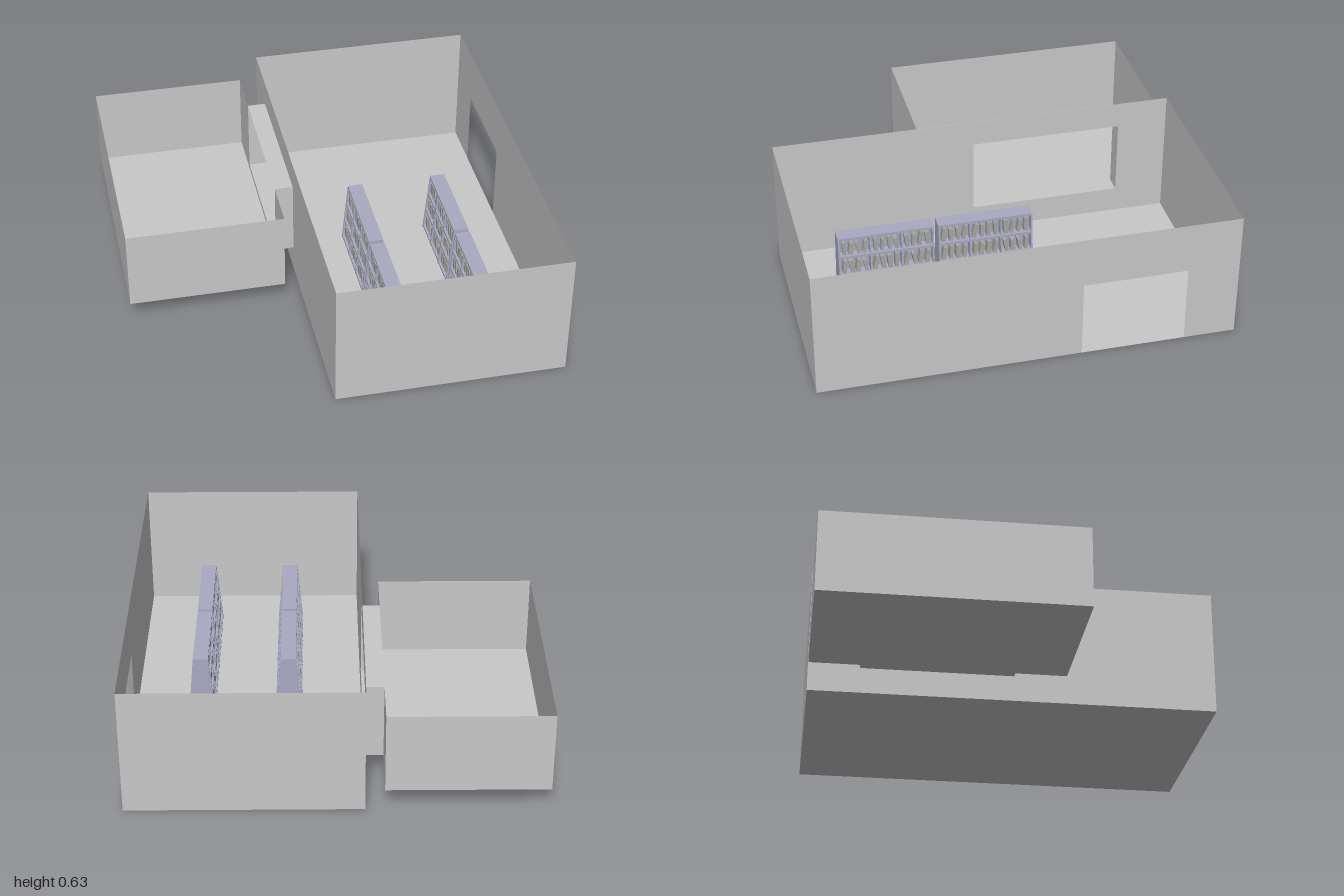
import * as THREE from 'three';

const wallGrey = new THREE.MeshStandardMaterial({ color: 0xc8c8c8, side: THREE.DoubleSide });
wallGrey.name = 'wall grey';
const shelfLilac = new THREE.MeshStandardMaterial({ color: 0xa9a9c2 });
shelfLilac.name = 'shelf lilac';
const bookGrey = new THREE.MeshStandardMaterial({ color: 0xa6a6a2 });
bookGrey.name = 'book grey';

// Small seeded generator for the book arrangement
function seeded(seed) {
  return () => (seed = (seed * 16807) % 2147483647) / 2147483647;
}

function addMesh(parent, name, geometry, material, x = 0, y = 0, z = 0) {
  const mesh = new THREE.Mesh(geometry, material);
  mesh.name = name;
  mesh.position.set(x, y, z);
  parent.add(mesh);
  return mesh;
}

const outline = (points) => new THREE.Shape(points.map(([a, b]) => new THREE.Vector2(a, b)));
const rect = (a0, a1, b0, b1) => [[a0, b0], [a1, b0], [a1, b1], [a0, b1]];

// Thin wall facing z, outline in (x, y)
function wallZ(parent, name, points, z) {
  addMesh(parent, name, new THREE.ShapeGeometry(outline(points)), wallGrey, 0, 0, z);
}

// Thin wall facing x, outline in (z, y), with an optional opening
function wallX(parent, name, points, x, hole) {
  const flip = (list) => list.map(([z, y]) => [-z, y]);
  const shape = outline(flip(points));
  if (hole) shape.holes.push(outline(flip(hole)));
  addMesh(parent, name, new THREE.ShapeGeometry(shape), wallGrey, x).rotation.y = Math.PI / 2;
}

// Horizontal slab without thickness
function level(parent, name, x0, x1, z0, z1, y) {
  const g = new THREE.PlaneGeometry(x1 - x0, z1 - z0).rotateX(-Math.PI / 2);
  addMesh(parent, name, g, wallGrey, (x0 + x1) / 2, y, (z0 + z1) / 2);
}

// Two-sided tapering bookshelf, centred on x and z
const HEIGHT = 0.32, LENGTH = 0.47, BOARD = 0.008;
const halfWidth = (y) => 0.066 - (0.029 * y) / HEIGHT;

function bookshelf(seed) {
  const random = seeded(seed);
  const shelf = new THREE.Group();
  shelf.name = 'bookshelf';

  // Ends and the two dividers
  const w0 = halfWidth(0), w1 = halfWidth(HEIGHT);
  const side = outline([[-w0, 0], [w0, 0], [w1, HEIGHT], [-w1, HEIGHT]]);
  const panel = new THREE.ExtrudeGeometry(side, { depth: BOARD, bevelEnabled: false });
  const bay = (LENGTH - BOARD) / 3;
  for (let i = 0; i < 4; i++) {
    addMesh(shelf, i % 3 ? 'divider' : 'endPanel', panel, shelfLilac, 0, 0, -LENGTH / 2 + i * bay);
  }

  // Middle panel, top and boards
  addMesh(shelf, 'middlePanel', new THREE.BoxGeometry(BOARD, HEIGHT - 0.01, LENGTH - 0.01), shelfLilac, 0, HEIGHT / 2);
  addMesh(shelf, 'topBoard', new THREE.BoxGeometry(w1 * 2, 0.012, LENGTH), shelfLilac, 0, HEIGHT - 0.006);
  const rows = [0.012, 0.115, 0.215];
  for (const y of rows) {
    const w = halfWidth(y + 0.004);
    addMesh(shelf, 'board', new THREE.BoxGeometry(w * 2, 0.012, LENGTH - 0.004), shelfLilac, 0, y);
  }

  // Leaning books on both faces
  for (const s of [-1, 1]) {
    for (const y of rows) {
      for (let b = 0; b < 3; b++) {
        for (let n = 0; n < 4; n++) {
          const h = 0.06 + random() * 0.016;
          const t = 0.014 + random() * 0.009;
          const lean = (random() - 0.5) * 0.45;
          const depth = halfWidth(y + 0.08) - 0.008;
          const z = -LENGTH / 2 + b * bay + 0.03 + n * 0.034;
          const book = addMesh(shelf, 'book', new THREE.BoxGeometry(depth, h, t), bookGrey,
            s * (0.004 + depth / 2), y + 0.007 + h / 2, z);
          book.rotation.x = lean;
        }
      }
    }
  }
  return shelf;
}

export function createModel() {
  const model = new THREE.Group();
  model.name = 'libraryRooms';

  // Large room with a doorway and a raised opening
  const hall = new THREE.Group();
  hall.name = 'largeRoom';
  const [hx0, hx1, hTop] = [-0.13, 0.985, 0.635];
  const opening = rect(-0.75, 0, 0.13, 0.505);
  level(hall, 'largeFloor', hx0, hx1, -1, 1, 0);
  wallZ(hall, 'largeFrontWall', rect(hx0, hx1, 0, hTop), 1);
  wallZ(hall, 'largeBackWall', rect(hx0, hx1, 0, hTop), -1);
  wallX(hall, 'largeRightWall', rect(-1, 1, 0, hTop), hx0, opening);
  wallX(hall, 'largeDoorWall', [[-1, 0], [-0.75, 0], [-0.75, 0.385], [-0.25, 0.385],
    [-0.25, 0], [1, 0], [1, hTop], [-1, hTop]], hx1);
  model.add(hall);

  // Small raised room, open towards the passage
  const annex = new THREE.Group();
  annex.name = 'smallRoom';
  const [ax0, ax1, az1, aBase, aTop] = [-0.985, -0.22, 0.245, 0.105, 0.505];
  level(annex, 'smallFloor', ax0, ax1, -1, az1, aBase);
  wallZ(annex, 'smallFrontWall', rect(ax0, ax1, aBase, aTop), az1);
  wallZ(annex, 'smallBackWall', rect(ax0, ax1, aBase, aTop), -1);
  wallX(annex, 'smallOuterWall', rect(-1, az1, aBase, aTop), ax0);
  wallX(annex, 'smallInnerWall', [[-1, aBase], [az1, aBase], [az1, aTop], [0, aTop],
    [0, 0.13], [-0.75, 0.13], [-0.75, aTop], [-1, aTop]], ax1);
  model.add(annex);

  // Passage joining the rooms
  const passage = new THREE.Group();
  passage.name = 'passage';
  level(passage, 'passageFloor', ax1, hx0, -0.75, 0, 0.13);
  level(passage, 'passageCeiling', ax1, hx0, -0.75, 0, aTop);
  for (const z of [-0.75, 0]) wallZ(passage, 'passageWall', rect(ax1, hx0, 0.13, aTop), z);
  model.add(passage);

  // Two rows of two bookshelves
  let seed = 11;
  for (const x of [0.229, 0.658]) {
    for (const z of [0.035, 0.528]) {
      const shelf = bookshelf(seed += 97);
      shelf.position.set(x, 0.001, z);
      model.add(shelf);
    }
  }
  return model;
}
